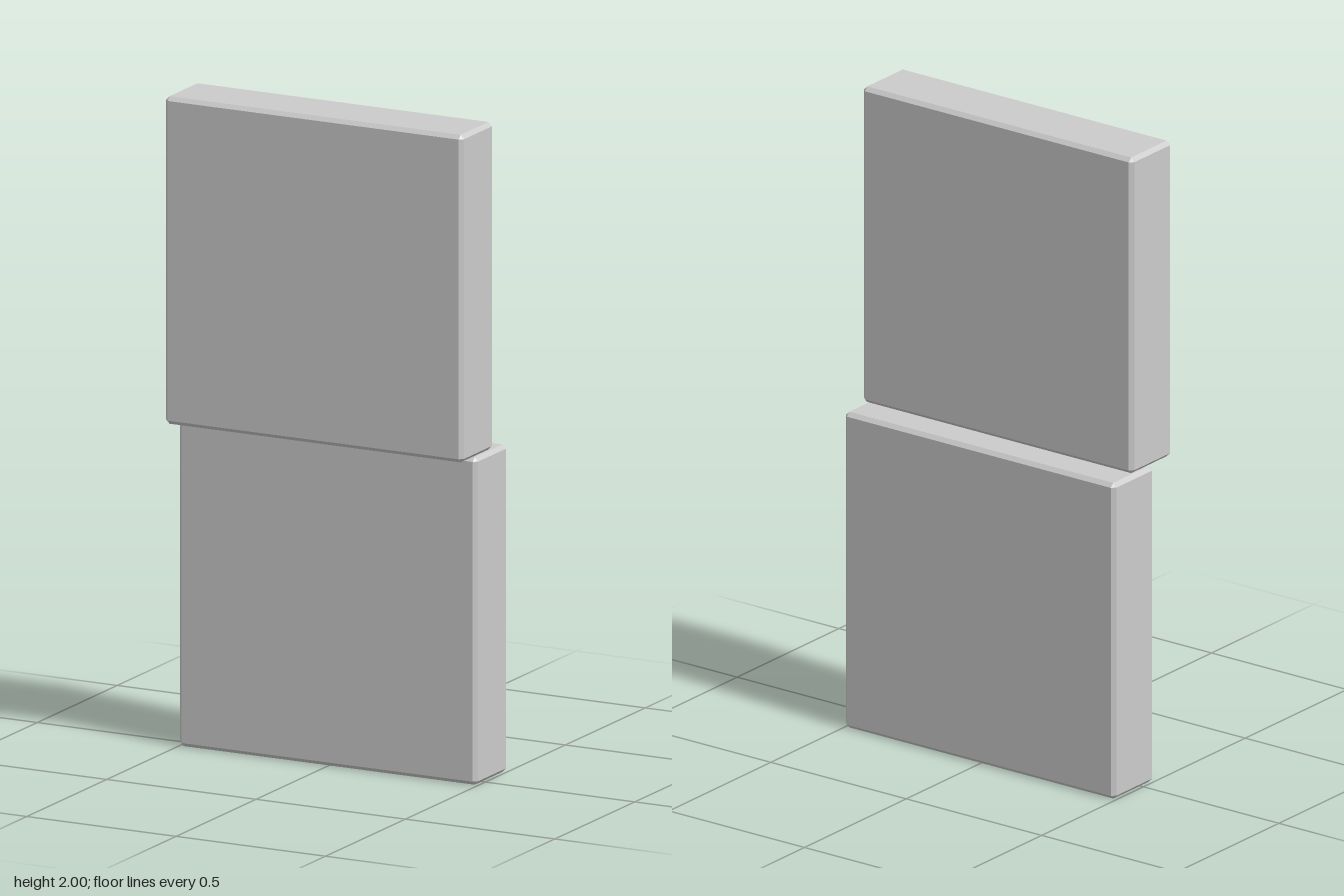
import * as THREE from 'three';
import { ConvexGeometry } from 'three/addons/geometries/ConvexGeometry.js';

// Box with every edge and corner chamfered by c
function chamferedBox(w, h, d, c) {
  const half = [w / 2, h / 2, d / 2];
  const points = [];
  for (const sx of [-1, 1]) for (const sy of [-1, 1]) for (const sz of [-1, 1]) {
    for (let outer = 0; outer < 3; outer++) {
      // one axis reaches its face, the other two are inset
      const p = half.map((v, axis) => (axis === outer ? v : v - c));
      points.push(new THREE.Vector3(sx * p[0], sy * p[1], sz * p[2]));
    }
  }
  return new ConvexGeometry(points);
}

export function createModel() {
  const group = new THREE.Group();
  const material = new THREE.MeshStandardMaterial({ color: 0xcccccc, flatShading: true });
  const slab = chamferedBox(0.998, 0.998, 0.198, 0.012);

  // Two equal slabs, the upper one stepped forward
  const addSlab = (name, y, z) => {
    const mesh = new THREE.Mesh(slab, material);
    mesh.name = name;
    mesh.position.set(0, y, z);
    group.add(mesh);
  };
  addSlab('lowerPanel', 0.499, -0.044);
  addSlab('upperPanel', 1.501, 0.044);
  return group;
}
